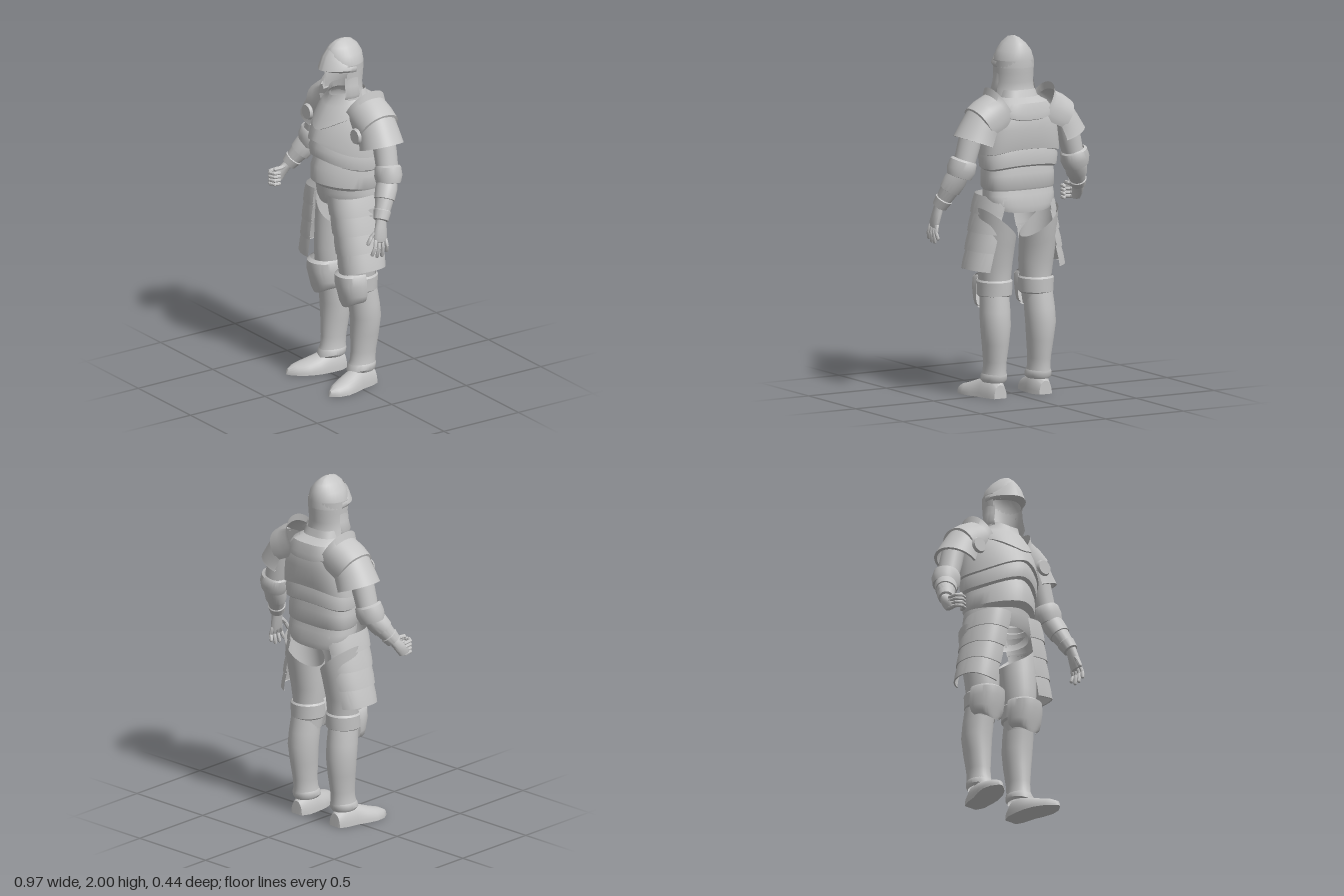
import * as THREE from 'three';
import { toCreasedNormals } from 'three/addons/utils/BufferGeometryUtils.js';

const V = (x, y, z) => new THREE.Vector3(x, y, z);
const UP = V(0, 1, 0);
const rad = Math.PI / 180;

// Shell through oval rings, listed from top to bottom.
// Row: x, y, z, side radius, front radius, back radius, front lift, back lift, sideways tilt
function loft(rows, { axis, from = 0, to = 360, seg = 32, nf = 2, nb = 2 } = {}) {
  const v = (axis || V(...rows[0].slice(0, 3)).sub(V(...rows.at(-1).slice(0, 3)))).clone().normalize();
  const X = v.clone().cross(Math.abs(v.z) > 0.9 ? UP : V(0, 0, 1)).normalize();
  const Z = X.clone().cross(v);
  const pos = [], idx = [];
  rows.forEach(([x, y, z, rx, rf, rb = rf, lf = 0, lb = 0, tilt = 0], i) => {
    for (let j = 0; j <= seg; j++) {
      const a = (from + (to - from) * j / seg) * rad, c = Math.cos(a), s = Math.sin(a);
      const n = 2 / (s > 0 ? nf : nb);
      const px = Math.sign(c) * Math.abs(c) ** n * rx;
      const pz = Math.sign(s) * Math.abs(s) ** n * (s > 0 ? rf : rb);
      const py = (s > 0 ? lf : lb) * Math.abs(s) ** 3 + tilt * c;
      const p = V(x, y, z).addScaledVector(X, px).addScaledVector(Z, pz).addScaledVector(v, py);
      pos.push(p.x, p.y, p.z);
      if (i && j < seg) {
        const b = i * (seg + 1) + j, t = b - seg - 1;
        idx.push(b, t, b + 1, t, t + 1, b + 1);
      }
    }
  });
  const g = new THREE.BufferGeometry();
  g.setAttribute('position', new THREE.Float32BufferAttribute(pos, 3));
  g.setIndex(idx);
  return g;
}

// Rounded rod between two points
function rod(a, b, r) {
  const d = b.clone().sub(a);
  const g = new THREE.CapsuleGeometry(r, d.length(), 4, 8);
  g.applyQuaternion(new THREE.Quaternion().setFromUnitVectors(UP, d.normalize()));
  return g.translate((a.x + b.x) / 2, (a.y + b.y) / 2, (a.z + b.z) / 2);
}

function mirror(geo) {
  const g = geo.clone().scale(-1, 1, 1), i = g.index.array;
  for (let k = 0; k < i.length; k += 3) [i[k], i[k + 1]] = [i[k + 1], i[k]];
  return g;
}

export function createModel() {
  const root = new THREE.Group();
  root.name = 'suitOfArmour';
  const steel = new THREE.MeshStandardMaterial({ color: 0xc4c4c4, side: THREE.DoubleSide });
  steel.name = 'steel';
  const add = (name, geo) => {
    const m = new THREE.Mesh(toCreasedNormals(geo, 0.65), steel);
    m.name = name;
    root.add(m);
  };
  const side = (name, geo, left) => add((left ? 'left' : 'right') + name, left ? geo : mirror(geo));
  const pair = (name, geo) => { side(name, geo, true); side(name, geo, false); };

  // Torso: overlapping keeled plates whose lower edges rise at the middle
  const body = { axis: UP, nf: 1.7, nb: 2.8, seg: 48 };
  add('breastplate', loft([
    [0, 1.66, -.07, .13, .10, .10], [0, 1.6, -.07, .19, .165, .135], [0, 1.5, -.07, .22, .22, .143, .01],
    [0, 1.4, -.07, .235, .245, .136, .045, .02], [0, 1.36, -.07, .237, .248, .13, .075, .03],
    [0, 1.355, -.07, .215, .215, .11, .075, .03]], body));
  add('upperWaistPlate', loft([
    [0, 1.39, -.07, .212, .215, .11, .07, .03], [0, 1.34, -.07, .228, .245, .13, .055, .02],
    [0, 1.28, -.07, .222, .236, .125, .06, .02], [0, 1.265, -.07, .2, .2, .1, .06, .02]], body));
  add('lowerWaistPlate', loft([
    [0, 1.3, -.07, .2, .2, .1, .06, .02], [0, 1.24, -.07, .21, .235, .112, .04, .01],
    [0, 1.17, -.07, .21, .236, .113, .02], [0, 1.15, -.07, .198, .2, .1, .01]], body));
  add('hipPlate', loft([
    [0, 1.19, -.07, .198, .2, .1], [0, 1.13, -.07, .208, .195, .112],
    [0, 1.08, -.07, .205, .185, .125, 0, -.01], [0, 1.055, -.07, .19, .175, .12, 0, -.02]], body));

  // Collar with a pointed front bib
  add('collar', loft([
    [0, 1.71, -.035, .1, .095, .1, -.03], [0, 1.67, -.04, .112, .11, .11, -.02],
    [0, 1.645, -.06, .15, .15, .145, -.02], [0, 1.61, -.07, .175, .205, .152, -.06, -.02],
    [0, 1.585, -.07, .178, .232, .152, -.085, -.03], [0, 1.58, -.07, .17, .215, .14, -.085, -.03]],
    { axis: UP, nf: 1.7, nb: 3, seg: 48 }));

  // Helmet: skull, open-faced neck guard, raised visor
  add('helmetSkull', loft([
    [0, 2, -.025, .002, .005, .008], [0, 1.988, -.02, .026, .05, .055], [0, 1.96, -.02, .06, .085, .09],
    [0, 1.92, -.02, .093, .107, .112], [0, 1.87, -.02, .111, .115, .118], [0, 1.83, -.02, .113, .112, .117]],
    { axis: UP, nf: 1.8 }));
  add('helmetNeckGuard', loft([
    [0, 1.87, -.02, .114, .11, .117], [0, 1.8, -.02, .112, .11, .114], [0, 1.75, -.02, .11, .11, .107],
    [0, 1.71, -.02, .116, .12, .108], [0, 1.67, -.025, .122, .125, .115]], { axis: UP, from: 158, to: 382 }));
  add('visor', loft([
    [0, 1.865, -.02, .116, .096, .1, .085], [0, 1.86, -.02, .118, .124, .1, .055],
    [0, 1.845, -.02, .12, .152, .1, -.005], [0, 1.832, -.02, .114, .13, .1],
    [0, 1.828, -.02, .11, .1, .1]], { axis: UP, from: -8, to: 188, nf: 1.7 }));
  pair('CheekGuard', loft([
    [0, 1.8, -.02, .112, .1], [0, 1.75, -.02, .116, .105], [0, 1.7, -.02, .128, .115], [0, 1.675, -.02, .118, .11]],
    { axis: UP, from: -15, to: 30, seg: 8 }));

  // Shoulder plates and armpit discs
  pair('ShoulderPlate', loft([
    [.115, 1.6, -.08, .155, .122, .12], [.14, 1.585, -.08, .125, .115, .118], [.2, 1.555, -.08, .125, .118, .122],
    [.255, 1.525, -.08, .116, .115, .122], [.256, 1.52, -.08, .106, .105, .11]],
    { axis: V(-.85, .53, 0), from: -112, to: 112, nb: 2.3 }));
  pair('UpperArmPlate', loft([
    [.205, 1.572, -.08, .115, .108, .116], [.25, 1.5, -.08, .118, .112, .122],
    [.278, 1.44, -.08, .126, .118, .128], [.28, 1.432, -.08, .129, .12, .13], [.28, 1.432, -.08, .112, .105, .115]],
    { axis: V(-.35, .94, 0), from: -110, to: 110 }));
  pair('ArmpitDisc', new THREE.CylinderGeometry(.04, .047, .016, 20).rotateX(Math.PI / 2).translate(.232, 1.505, .055));

  // Arms: the left hangs open, the right ends in a fist
  const elbow = V(.363, 1.29, -.075);
  const arm = (wrist, left) => {
    const at = (t, ...r) => [...elbow.clone().lerp(wrist, t).toArray(), ...r];
    side('UpperArm', loft([[.295, 1.53, -.08, .06, .065], [.322, 1.42, -.08, .063, .065], [.352, 1.31, -.076, .058, .062]]), left);
    side('ElbowGuard', loft([[.348, 1.345, -.077, .062, .064], [.353, 1.335, -.077, .076, .072],
      [.365, 1.29, -.072, .083, .076], [.376, 1.25, -.066, .072, .066], [.377, 1.248, -.065, .056, .056]]), left);
    side('ForearmGuard', loft([at(.1, .054, .054), at(.3, .064, .06), at(.55, .06, .056), at(.56, .054, .05),
      at(.8, .045, .044), at(.82, .05, .049), at(1.02, .042, .042), at(1.04, .03, .03)]), left);
  };
  arm(V(.44, 1.08, .03), true);
  arm(V(.445, 1.13, .025), false);

  const digits = (name, chain, r, left) => {
    for (let k = 0; k + 1 < chain.length; k++) side(name, rod(chain[k], chain[k + 1], r), left);
  };
  side('Palm', loft([[.443, 1.085, .032, .026, .03], [.452, 1.04, .04, .024, .036],
    [.463, .985, .05, .021, .042], [.466, .96, .052, .016, .036], [.466, .95, .052, 0, 0]], { seg: 16 }), true);
  for (let i = 0; i < 4; i++) {
    const z = .018 + i * .022, end = .01 + i * .032, low = [.9, .878, .88, .895][i];
    digits('Finger', [V(.466, .97, z), V(.474, .93, (z + end) / 2), V(.466, low, end)], .0105, true);
  }
  digits('Thumb', [V(.45, 1.025, .062), V(.442, .99, .095), V(.44, .955, .115)], .012, true);

  side('Palm', loft([[.447, 1.135, .02, .028, .035], [.46, 1.1, .05, .026, .045],
    [.468, 1.065, .075, .02, .046], [.468, 1.035, .09, .014, .036], [.468, 1.03, .09, 0, 0]], { seg: 16, axis: UP }), false);
  for (let i = 0; i < 4; i++) {
    const y = 1.038 + i * .021;
    digits('Finger', [V(.474, y, .09), V(.467, y, .138), V(.442, y, .156), V(.414, y, .145), V(.41, y, .118)], .0105, false);
  }
  digits('Thumb', [V(.45, 1.115, .055), V(.425, 1.122, .09), V(.428, 1.12, .13)], .012, false);

  // Hip skirts: four overlapping plates on each side
  for (let i = 0; i < 4; i++) {
    const row = (t, d) => [.1 + .09 * t, 1.125 - .42 * t, -.03 + .005 * t,
      .115 - .005 * t + d, .165 - .03 * t + d, .15 - .03 * t + d, -.015 * t, 0, .015 * t];
    pair('SkirtPlate' + (i + 1), loft([row(i / 4 - (i ? .03 : 0), -.004), row((i + .5) / 4, .003),
      row((i + 1) / 4, .004), row((i + 1) / 4, -.004)], { axis: UP, from: -75, to: 108, nf: 2.3, nb: 2.2 }));
  }

  // Legs
  pair('Thigh', loft([[.135, .97, -.06, .104, .1, .132, -.02, 0, .09], [.135, .86, -.055, .102, .105, .115, 0, 0, .03],
    [.132, .74, -.045, .096, .105, .095], [.13, .64, -.04, .086, .1, .09], [.135, .5, -.045, .075, .08, .085]], { axis: UP }));
  pair('KneeBand', loft([[.133, .655, -.04, .09, .09, .095], [.133, .645, -.04, .098, .1, .104],
    [.133, .57, -.04, .096, .1, .102], [.133, .56, -.04, .085, .09, .09]], { axis: UP }));
  pair('KneeGuard', loft([[.133, .675, -.03, .09, .115], [.133, .66, -.03, .1, .135], [.135, .61, -.03, .104, .135],
    [.135, .55, -.03, .104, .115, .115, -.01], [.135, .52, -.025, .095, .1, .1, -.025],
    [.135, .505, -.02, .075, .088, .1, -.03]], { axis: UP, from: 4, to: 176, nf: 2.2 }));
  pair('ShinGuard', loft([[.14, .57, -.05, .08, .085, .088], [.143, .48, -.062, .084, .088, .09],
    [.145, .4, -.07, .084, .085, .09], [.143, .3, -.066, .073, .08, .085], [.142, .2, -.06, .061, .075, .075],
    [.142, .15, -.056, .061, .075, .074], [.142, .12, -.052, .066, .082, .08]], { axis: UP }));
  pair('AnkleBand', loft([[.142, .135, -.055, .062, .078, .075], [.142, .125, -.052, .069, .086, .08, -.01],
    [.142, .1, -.05, .07, .09, .08, -.015], [.142, .085, -.05, .06, .08, .07]], { axis: UP }));
  pair('Foot', loft([[.145, 0, -.127, .03, .0, .0], [.145, 0, -.125, .04, .075, 0], [.145, 0, -.08, .06, .11, 0],
    [.152, 0, -.01, .066, .115, 0], [.166, 0, .05, .074, .09, 0], [.182, 0, .11, .072, .068, 0],
    [.195, 0, .165, .052, .052, 0], [.204, 0, .205, .018, .03, 0], [.206, 0, .215, 0, 0, 0]],
    { axis: V(0, 0, -1), nf: 2.1 }));
  return root;
}
